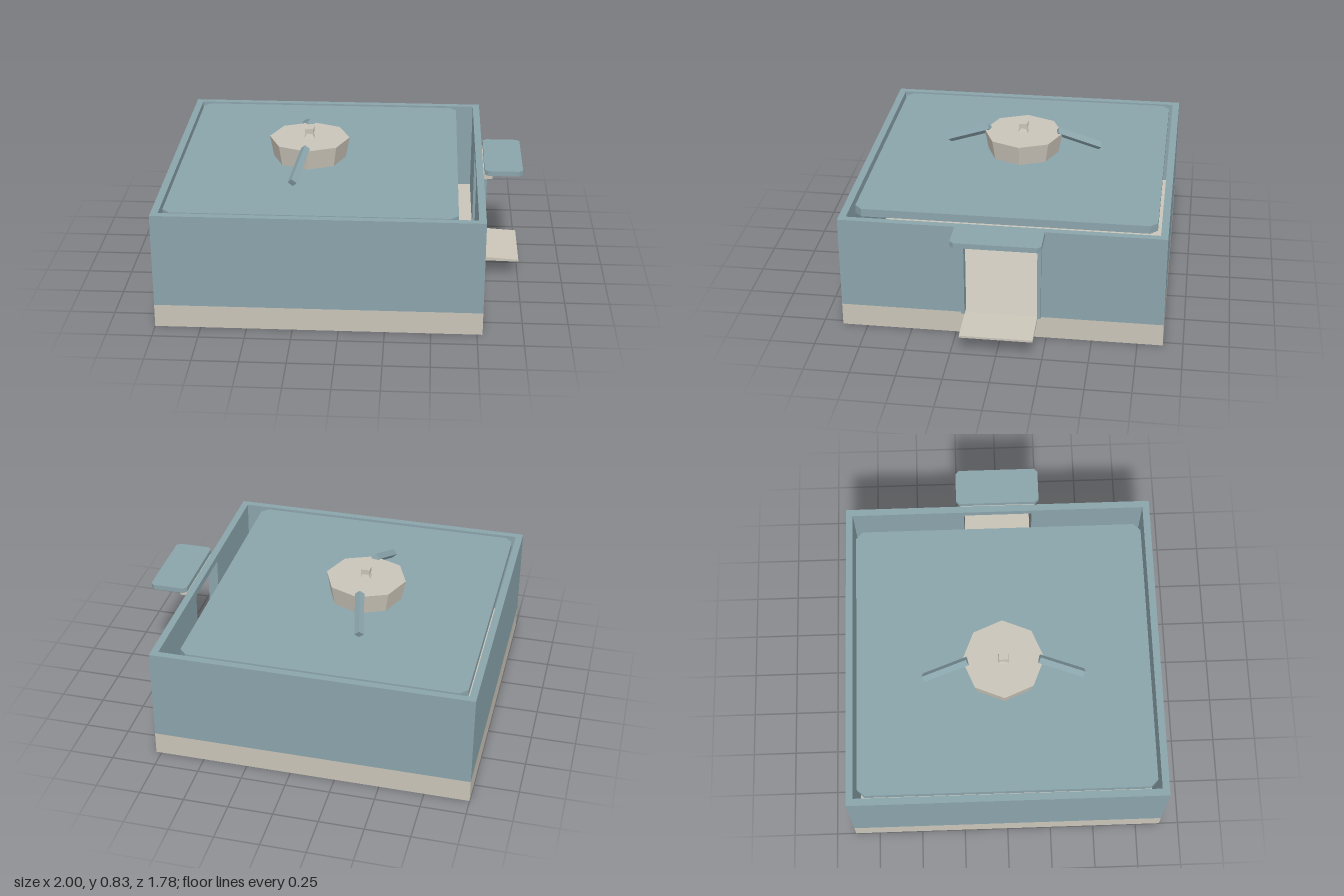
import * as THREE from 'three';

const blue = new THREE.MeshStandardMaterial({ name: 'greyBlue', color: 0x8aa4ab, flatShading: true });
const cream = new THREE.MeshStandardMaterial({ name: 'cream', color: 0xcac4b8, flatShading: true });

export function createModel() {
  const model = new THREE.Group();
  model.name = 'bunker';

  const add = (name, geometry, material, parent = model) => {
    const mesh = new THREE.Mesh(geometry, material);
    mesh.name = name;
    parent.add(mesh);
    return mesh;
  };

  // Box given by its limits on each axis
  const box = (name, material, [x0, x1], [y0, y1], [z0, z1], parent) => {
    const g = new THREE.BoxGeometry(x1 - x0, y1 - y0, z1 - z0);
    g.translate((x0 + x1) / 2, (y0 + y1) / 2, (z0 + z1) / 2);
    return add(name, g, material, parent);
  };

  // Horizontal slab with cut corners
  const slab = (name, material, x0, x1, y0, y1, z, cut) => {
    const s = new THREE.Shape([
      [x0 + cut, -z], [x1 - cut, -z], [x1, -z + cut], [x1, z - cut],
      [x1 - cut, z], [x0 + cut, z], [x0, z - cut], [x0, -z + cut],
    ].map(([x, y]) => new THREE.Vector2(x, y)));
    const g = new THREE.ExtrudeGeometry(s, { depth: y1 - y0, bevelEnabled: false });
    g.rotateX(-Math.PI / 2);
    g.translate(0, y0, 0);
    return add(name, g, material);
  };

  // Foundation and hollow walls
  box('foundation', cream, [-1, 0.78], [0, 0.13], [-0.89, 0.89]);
  const walls = new THREE.Group();
  walls.name = 'walls';
  model.add(walls);
  const high = [0.13, 0.66];
  box('frontWall', blue, [-1, 0.78], high, [0.85, 0.89], walls);
  box('backWall', blue, [-1, 0.78], high, [-0.89, -0.85], walls);
  box('leftEndWall', blue, [-1, -0.96], high, [-0.85, 0.85], walls);
  box('doorWallFront', blue, [0.74, 0.78], high, [0.2, 0.85], walls);
  box('doorWallBack', blue, [0.74, 0.78], high, [-0.85, -0.2], walls);
  box('doorHeader', blue, [0.74, 0.78], [0.62, 0.66], [-0.2, 0.2], walls);

  // Roof panel set just inside the walls
  slab('roofPanel', blue, -0.945, 0.635, 0.61, 0.656, 0.83, 0.04);

  // Doorway: posts, lintel, canopy and sloping step
  for (const s of [-1, 1]) {
    box('doorPost', blue, [0.78, 0.8], [0.13, 0.625], s > 0 ? [0.2, 0.22] : [-0.22, -0.2]);
  }
  box('lintel', cream, [0.78, 0.83], [0.625, 0.656], [-0.215, 0.215]);
  slab('canopy', blue, 0.785, 1, 0.656, 0.685, 0.242, 0.02);
  const stepShape = new THREE.Shape([
    [0.78, 0.108], [1, 0.104], [1, 0.116], [0.78, 0.13],
  ].map(([x, y]) => new THREE.Vector2(x, y)));
  const step = new THREE.ExtrudeGeometry(stepShape, { depth: 0.4, bevelEnabled: false });
  step.translate(0, 0, -0.2);
  add('entryStep', step, cream);

  // Eight-sided roof hatch with its knob
  const hatch = new THREE.Group();
  hatch.name = 'roofHatch';
  hatch.position.x = -0.217;
  model.add(hatch);
  const drum = new THREE.CylinderGeometry(0.23, 0.208, 0.122, 8);
  add('hatchDrum', drum, cream, hatch).position.y = 0.714;
  const neck = new THREE.CylinderGeometry(0.02, 0.042, 0.03, 4);
  neck.rotateY(Math.PI / 4);
  add('knobNeck', neck, cream, hatch).position.y = 0.788;
  box('knobCap', cream, [-0.025, 0.025], [0.802, 0.832], [-0.025, 0.025], hatch);

  // Sloping struts on either side of the hatch, turned edge up
  for (const s of [-1, 1]) {
    const top = new THREE.Vector3(-0.225, 0.782, s * 0.2);
    const foot = new THREE.Vector3(-0.28, 0.678, s * 0.45);
    const g = new THREE.BoxGeometry(0.037, 0.037, top.distanceTo(foot));
    g.rotateZ(Math.PI / 4);
    const strut = add('hatchStrut', g, blue);
    strut.position.copy(top).add(foot).multiplyScalar(0.5);
    strut.lookAt(foot);
  }

  return model;
}
